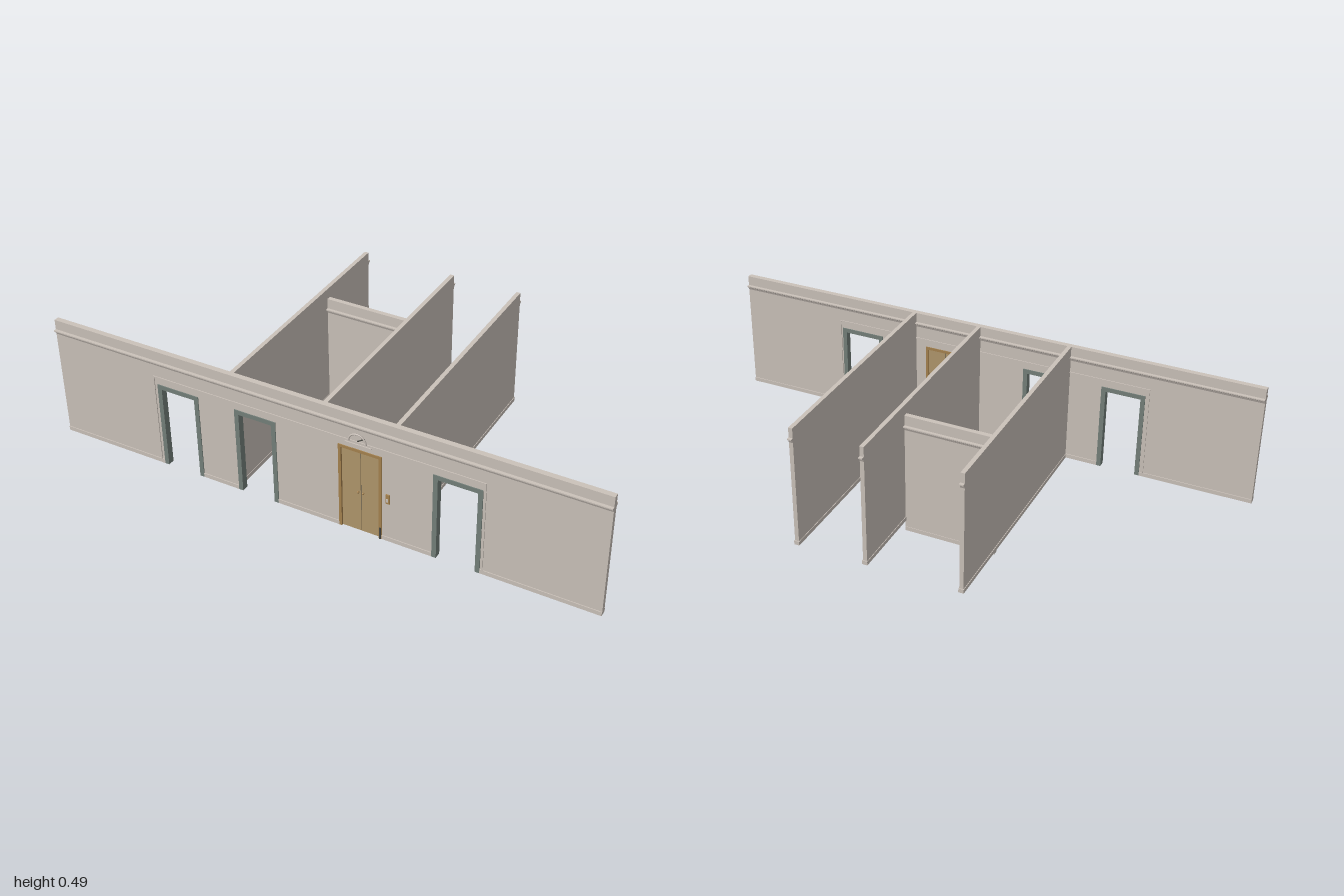
import * as THREE from 'three';

const mat = (name, color) => Object.assign(new THREE.MeshStandardMaterial({ color }), { name });

export function createModel() {
  const root = new THREE.Group();
  root.name = 'corridorWalls';
  const plaster = mat('plaster', 0xcbc2ba);
  const frameGrey = mat('frameGrey', 0x74807a);
  const wood = mat('wood', 0xb0976c);
  const woodTrim = mat('woodTrim', 0xa5824f);
  const dark = mat('darkMetal', 0x4a4a45);

  const add = (name, geo, material, parent = root) => {
    const m = new THREE.Mesh(geo, material);
    m.name = name;
    parent.add(m);
    return m;
  };
  // Box given by its limits on each axis
  const box = (name, x0, x1, y0, y1, z0, z1, material, parent) => {
    const g = new THREE.BoxGeometry(x1 - x0, y1 - y0, z1 - z0);
    g.translate((x0 + x1) / 2, (y0 + y1) / 2, (z0 + z1) / 2);
    return add(name, g, material, parent);
  };
  const extrude = (pts, depth) => new THREE.ExtrudeGeometry(
    new THREE.Shape(pts.map(p => new THREE.Vector2(...p))), { depth, bevelEnabled: false });
  // Cornice moulding: flat top, tapering down to the wall; side is +1 or -1 in z
  const cornice = (name, x0, x1, yTop, z, side) => {
    const g = extrude([[-0.002, 0], [-0.002, -0.018], [0, -0.018], [0.004, -0.009], [0.011, -0.004], [0.011, 0]].reverse(), x1 - x0);
    g.rotateY(side > 0 ? -Math.PI / 2 : Math.PI / 2);
    g.translate(side > 0 ? x1 : x0, yTop, z);
    return add(name, g, plaster);
  };

  const base = 0.04, top = 0.493, back = 0.435, front = 0.454;
  const doors = [[-0.59, -0.43], [-0.29, -0.135], [0.095, 0.25], [0.428, 0.595]];
  const doorTop = 0.365;

  // Long front wall with four doorways
  const outline = [[-1, base]];
  for (const [a, b] of doors) outline.push([a, base], [a, doorTop], [b, doorTop], [b, base]);
  outline.push([1, base], [1, top], [-1, top]);
  const wall = extrude(outline, front - back);
  wall.translate(0, 0, back);
  add('frontWall', wall, plaster);
  cornice('frontCornice', -1, 1, 0.457, front, 1);
  cornice('backCornice', -1, 1, 0.457, back, -1);

  // Skirting between the doorways
  const edges = [-1, ...doors.flat(), 1];
  for (let i = 0; i < edges.length; i += 2)
    box('skirting', edges[i], edges[i + 1], base, 0.055, back - 0.003, front + 0.003, plaster);

  // Door frames, the third in wood
  doors.forEach(([a, b], i) => {
    const g = new THREE.Group();
    const m = i === 2 ? woodTrim : frameGrey;
    const w = i === 2 ? 0.01 : 0.016;
    g.name = 'doorFrame';
    root.add(g);
    const z0 = back - 0.003, z1 = front + 0.003;
    box('leftJamb', a, a + w, base, doorTop, z0, z1, m, g);
    box('rightJamb', b - w, b, base, doorTop, z0, z1, m, g);
    box('lintel', a + w, b - w, doorTop - w, doorTop, z0, z1, m, g);
  });

  // Double wooden door with a dark seam and knobs
  box('doorLeaf', 0.105, 0.172, base, 0.355, 0.439, 0.45, wood);
  box('doorLeaf', 0.174, 0.24, base, 0.355, 0.439, 0.45, wood);
  box('doorSeam', 0.172, 0.174, base, 0.355, 0.441, 0.448, dark);
  for (const x of [0.164, 0.182]) {
    const knob = new THREE.SphereGeometry(0.004, 10, 8);
    knob.translate(x, 0.195, 0.453);
    add('doorKnob', knob, woodTrim);
  }
  box('doorStop', 0.243, 0.248, base, 0.085, 0.457, 0.46, dark);
  box('entryPanel', 0.265, 0.279, 0.192, 0.227, front, 0.459, woodTrim);
  box('entryButton', 0.269, 0.275, 0.2, 0.212, 0.459, 0.461, plaster);

  // Arched lamp above the wooden door
  const arch = new THREE.TorusGeometry(0.031, 0.003, 6, 20, Math.PI);
  arch.translate(0.165, 0.392, 0.457);
  add('lampArch', arch, plaster);
  const arm = new THREE.TubeGeometry(new THREE.LineCurve3(
    new THREE.Vector3(0.165, 0.397, 0.457), new THREE.Vector3(0.192, 0.415, 0.457)), 1, 0.002, 6);
  add('lampArm', arm, dark);
  box('lampShelf', 0.12, 0.215, 0.381, 0.385, front, 0.458, plaster);

  // Thin rail over all the doors, dropping down at both ends, on both faces
  for (const [z0, z1] of [[front, front + 0.003], [back - 0.003, back]]) {
    box('rail', -0.605, 0.605, 0.39, 0.395, z0, z1, plaster);
    for (const s of [-1, 1])
      box('railDrop', s * 0.603 - 0.002, s * 0.603 + 0.002, 0.055, 0.39, z0, z1, plaster);
  }

  // Three long partitions with skirting and a moulded end
  for (const x of [-0.303, 0.042, 0.297]) {
    const h = 0.0075;
    box('partition', x - h, x + h, base, top, -0.453, back, plaster);
    box('partitionSkirting', x - h - 0.002, x + h + 0.002, base, 0.055, -0.456, back, plaster);
    cornice('partitionEndCornice', x - h, x + h, 0.457, -0.453, -1);
  }

  // Lower cross wall between the first two partitions
  box('crossWall', -0.295, 0.035, 0, 0.455, -0.172, -0.155, plaster);
  box('crossWallSkirting', -0.295, 0.035, 0, 0.015, -0.174, -0.153, plaster);
  cornice('crossWallCornice', -0.295, 0.035, 0.418, -0.155, 1);
  cornice('crossWallCornice', -0.295, 0.035, 0.418, -0.172, -1);

  return root;
}
